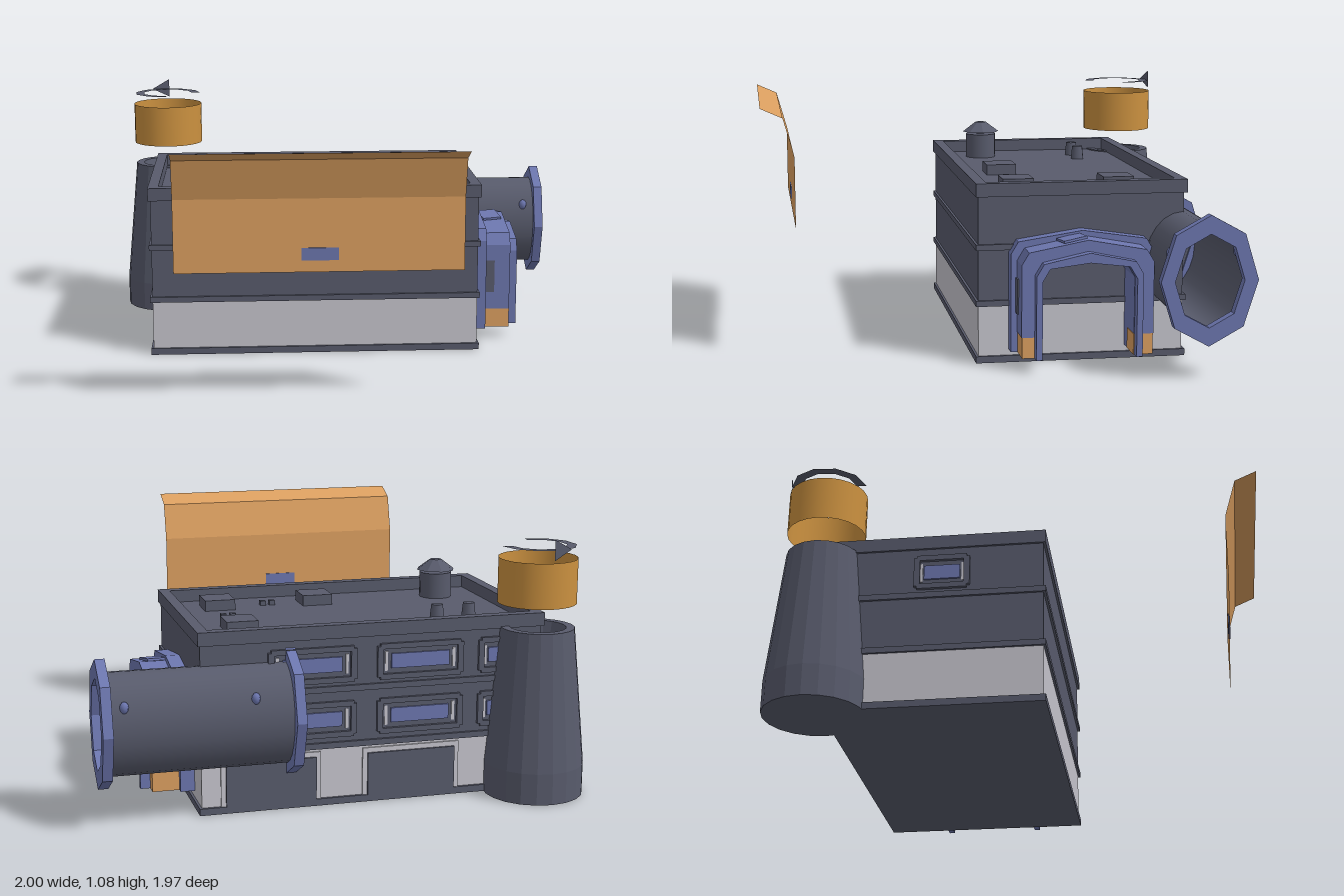
import * as THREE from 'three';

const mat = (name, color, extra = {}) => {
  const m = new THREE.MeshStandardMaterial({ color, side: THREE.DoubleSide, ...extra });
  m.name = name;
  return m;
};

export function createModel() {
  const root = new THREE.Group();
  root.name = 'industrialBuilding';
  const slate = mat('slate', 0x585b6c);
  const pale = mat('paleGrey', 0xc6c5cd);
  const blue = mat('blue', 0x6c76ae);
  const orange = mat('orange', 0xdb9f60);
  const amber = mat('amber', 0xcb9140);

  const add = (name, geo, material, x = 0, y = 0, z = 0, parent = root) => {
    const m = new THREE.Mesh(geo, material);
    m.name = name;
    m.position.set(x, y, z);
    parent.add(m);
    return m;
  };
  // box given by its extents
  const box = (name, material, x0, x1, y0, y1, z0, z1, parent = root) =>
    add(name, new THREE.BoxGeometry(x1 - x0, y1 - y0, z1 - z0), material,
      (x0 + x1) / 2, (y0 + y1) / 2, (z0 + z1) / 2, parent);
  const flat = (geo) => {
    const g = geo.index ? geo.toNonIndexed() : geo;
    g.computeVertexNormals();
    return g;
  };

  // main block
  box('lowerWalls', pale, -0.83, 0.592, 0.02, 0.245, -0.73, 0.125);
  box('upperWalls', slate, -0.83, 0.592, 0.245, 0.69, -0.73, 0.125);
  for (const [y0, y1] of [[0, 0.028], [0.236, 0.26], [0.468, 0.492]])
    box('trimBand', slate, -0.84, 0.602, y0, y1, -0.742, 0.135);

  // roof parapet
  const rim = new THREE.Shape([[-0.84, -0.135], [0.602, -0.135], [0.602, 0.742], [-0.84, 0.742]]
    .map(p => new THREE.Vector2(...p)));
  rim.holes.push(new THREE.Path([[-0.795, -0.09], [-0.795, 0.697], [0.557, 0.697], [0.557, -0.09]]
    .map(p => new THREE.Vector2(...p))));
  const rimGeo = new THREE.ExtrudeGeometry(rim, { depth: 0.055, bevelEnabled: false });
  rimGeo.rotateX(-Math.PI / 2);
  add('parapet', rimGeo, slate, 0, 0.687, 0);

  // roof fittings
  for (const [x, z] of [[0.38, -0.49], [-0.05, -0.065], [0.38, -0.065]])
    box('roofHatch', slate, x - 0.065, x + 0.065, 0.685, 0.735, z - 0.065, z + 0.065);
  for (const [x, z] of [[0.36, -0.28], [0.4, -0.28], [0.14, -0.065], [0.18, -0.065]])
    box('roofBolt', slate, x - 0.012, x + 0.012, 0.685, 0.71, z - 0.012, z + 0.012);
  for (const x of [-0.6, -0.46])
    add('roofKnob', new THREE.CylinderGeometry(0.024, 0.03, 0.06, 10), slate, x, 0.72, -0.505);
  add('ventPipe', new THREE.CylinderGeometry(0.07, 0.07, 0.11, 16), slate, -0.61, 0.745, -0.065);
  add('ventStem', new THREE.CylinderGeometry(0.018, 0.018, 0.03, 8), slate, -0.61, 0.805, -0.065);
  add('ventCap', flat(new THREE.CylinderGeometry(0.025, 0.085, 0.045, 8)), slate, -0.61, 0.833, -0.065);

  // windows, built facing -z and turned where needed
  const windowUnit = (x, y, z, w, turn = 0) => {
    const g = new THREE.Group();
    g.name = 'window';
    const h = 0.125;
    for (const s of [-1, 1]) {
      box('frameRail', slate, -w / 2, w / 2, s * h / 2 - 0.011, s * h / 2 + 0.011, -0.014, 0, g);
      box('frameSide', slate, s * w / 2 - 0.012, s * w / 2 + 0.012, -h / 2, h / 2, -0.014, 0, g);
      box('lightSlit', pale, s * w * 0.42 - 0.006, s * w * 0.42 + 0.006, -0.04, 0.04, -0.004, 0, g);
    }
    box('pane', blue, -w * 0.36, w * 0.36, -0.03, 0.03, -0.008, 0, g);
    g.position.set(x, y, z);
    g.rotation.y = turn;
    root.add(g);
  };
  for (const y of [0.355, 0.58])
    for (const [x, w] of [[0.14, 0.34], [-0.31, 0.34], [-0.68, 0.22]]) windowUnit(x, y, -0.73, w);
  windowUnit(-0.83, 0.58, -0.28, 0.2, Math.PI / 2);

  // rear loading doors with pale surrounds
  for (const x of [0.31, -0.275]) {
    box('doorSurround', pale, x - 0.205, x + 0.205, 0.028, 0.225, -0.737, -0.73);
    box('loadingDoor', slate, x - 0.185, x + 0.185, 0.028, 0.205, -0.746, -0.73);
  }

  // corner chimney tower
  const towerPts = [[0, 0], [0.205, 0], [0.205, 0.13], [0.15, 0.695], [0.115, 0.695], [0.08, 0.52], [0, 0.52]]
    .map(p => new THREE.Vector2(...p));
  add('tower', flat(new THREE.LatheGeometry(towerPts, 20)), slate, -0.795, 0, -0.775);
  add('towerCollar', new THREE.CylinderGeometry(0.16, 0.16, 0.185, 24, 1, true), amber, -0.79, 0.888, -0.77);
  const crown = new THREE.RingGeometry(0.115, 0.155, 8, 1, 0, Math.PI * 1.5);
  crown.rotateX(-Math.PI / 2);
  add('towerCrown', crown, slate, -0.79, 1.03, -0.77);
  const fin = new THREE.BufferGeometry();
  fin.setAttribute('position', new THREE.Float32BufferAttribute(
    [-0.87, 1.03, -0.91, -0.79, 0.99, -0.93, -0.79, 1.075, -0.93], 3));
  fin.computeVertexNormals();
  add('crownFin', fin, slate);

  // large flanged duct, oval in section
  const duct = new THREE.Group();
  duct.name = 'duct';
  duct.position.set(0, 0.4, -0.725);
  duct.scale.y = 1.33;
  root.add(duct);
  const tube = new THREE.CylinderGeometry(0.155, 0.155, 0.76, 24, 1, true);
  tube.rotateZ(Math.PI / 2);
  add('ductTube', tube, slate, 0.6, 0, 0, duct);
  const back = new THREE.CircleGeometry(0.155, 24);
  back.rotateY(Math.PI / 2);
  add('ductEnd', back, slate, 0.24, 0, 0, duct);
  const circle = (Kind, r, n) => new Kind(Array.from({ length: n }, (_, i) =>
    new THREE.Vector2(r * Math.cos(i * 2 * Math.PI / n), r * Math.sin(i * 2 * Math.PI / n))));
  const flangeShape = circle(THREE.Shape, 0.196, 8);
  flangeShape.holes.push(circle(THREE.Path, 0.14, 8));
  const flange = new THREE.ExtrudeGeometry(flangeShape, { depth: 0.04, bevelEnabled: false });
  flange.rotateY(Math.PI / 2);
  for (const x of [0.21, 0.96]) add('ductFlange', flange, blue, x, 0, 0, duct);
  for (const x of [0.4, 0.91])
    for (const a of [0.5, 2.64])
      add('ductRivet', new THREE.SphereGeometry(0.018, 8, 6), blue,
        x, 0.155 * Math.sin(a), 0.155 * Math.cos(a), duct);

  // side gateway made of stacked arches, centred on z = -0.295
  const archPath = (w, sh, top) => [[-w, sh - 0.05], [-w + 0.03, sh], [0, top], [w - 0.03, sh], [w, sh - 0.05]];
  const arch = (name, x0, x1, base, outer, inner) => {
    const pts = [[-outer[0], base], ...archPath(...outer), [outer[0], base],
      [inner[0], base], ...archPath(...inner).reverse(), [-inner[0], base]];
    const g = new THREE.ExtrudeGeometry(new THREE.Shape(pts.map(p => new THREE.Vector2(...p))),
      { depth: x1 - x0, bevelEnabled: false });
    g.rotateY(Math.PI / 2);
    add(name, g, blue, x0, 0, -0.295);
  };
  arch('archBase', 0.59, 0.65, 0.055, [0.295, 0.51, 0.55], [0.19, 0.425, 0.445]);
  arch('archBody', 0.65, 0.76, 0.14, [0.27, 0.485, 0.53], [0.19, 0.425, 0.445]);
  arch('archLip', 0.76, 0.8, 0.055, [0.217, 0.445, 0.485], [0.192, 0.425, 0.445]);
  for (const s of [-1, 1]) {
    box('archFoot', orange, 0.65, 0.76, 0.055, 0.14, -0.295 + s * 0.228 - 0.04, -0.295 + s * 0.228 + 0.04);
    box('archSidePlate', slate, 0.65, 0.69, 0.22, 0.365, -0.295 + s * 0.272 - 0.004, -0.295 + s * 0.272 + 0.004);
  }
  const plate = box('archTopPlate', blue, 0.65, 0.735, 0.522, 0.532, -0.29, -0.19);
  plate.rotation.set(0.16, 0.2, 0);

  // detached curved front panel
  const profile = [[0.85, 0.548], [0.85, 0.84], [0.895, 1.0], [0.985, 1.04]];
  const pos = [];
  for (let i = 0; i < profile.length - 1; i++) {
    const [z0, y0] = profile[i], [z1, y1] = profile[i + 1], a = -0.7, b = 0.433;
    pos.push(a, y0, z0, b, y0, z0, b, y1, z1, a, y0, z0, b, y1, z1, a, y1, z1);
  }
  const panel = new THREE.BufferGeometry();
  panel.setAttribute('position', new THREE.Float32BufferAttribute(pos, 3));
  panel.computeVertexNormals();
  add('frontPanel', panel, orange);
  box('panelPlate', blue, -0.205, -0.06, 0.595, 0.645, 0.846, 0.854);

  return root;
}
